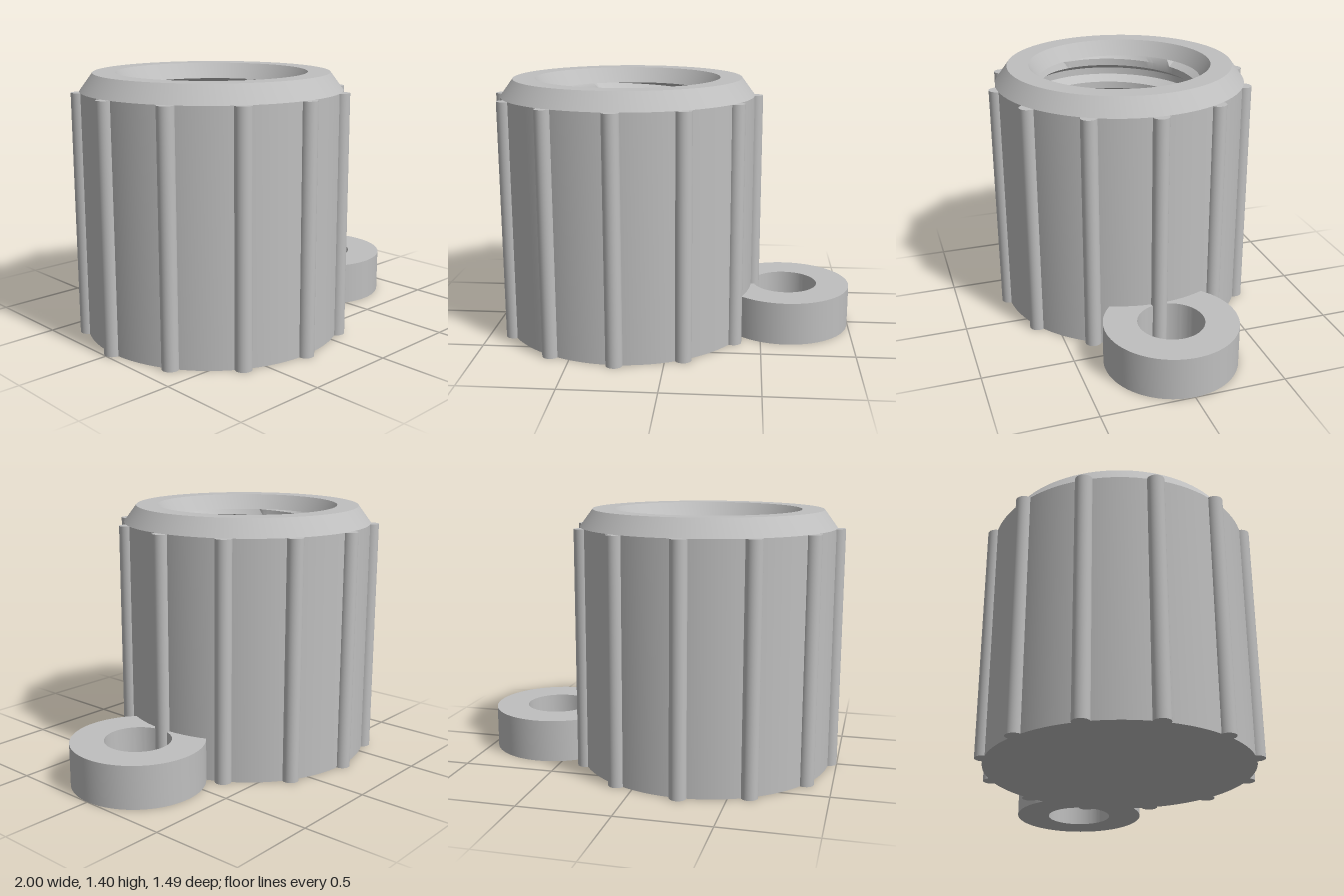
import * as THREE from 'three';
import { toCreasedNormals } from 'three/addons/utils/BufferGeometryUtils.js';

const CX = -0.255, SEG = 96;
const FLOOR = 0.19, THREAD_TOP = 1.32;
const CREST = 0.44, ROOT = 0.495, PITCH = 0.145;

// Threaded bore wall: one stepped profile, raised by one pitch per turn
function threadGeometry() {
  const profile = [];
  for (let k = 9; k >= -1; k--) {
    const y = FLOOR + k * PITCH;
    profile.push([CREST, y + 0.14], [CREST, y + 0.1], [ROOT, y + 0.07], [ROOT, y + 0.03]);
  }
  const n = profile.length, positions = [], indices = [];
  for (let i = 0; i <= SEG; i++) {
    const a = (i / SEG) * Math.PI * 2;
    for (const [radius, height] of profile) {
      let r = radius, y = height - PITCH + (PITCH * i) / SEG;
      if (y > THREAD_TOP) { y = THREAD_TOP; r = 0.455; }
      if (y < FLOOR) { y = FLOOR; r = ROOT; }
      positions.push(r * Math.sin(a), y, r * Math.cos(a));
    }
  }
  for (let i = 0; i < SEG; i++) {
    for (let j = 0; j < n - 1; j++) {
      const a = i * n + j, b = a + n, c = b + 1, d = a + 1;
      indices.push(a, b, d, c, d, b);
    }
  }
  const g = new THREE.BufferGeometry();
  g.setAttribute('position', new THREE.Float32BufferAttribute(positions, 3));
  g.setIndex(indices);
  return toCreasedNormals(g, 0.5);
}

export function createModel() {
  const model = new THREE.Group();
  model.name = 'threadedCap';
  const grey = new THREE.MeshStandardMaterial({ color: 0xbfbfbf });
  grey.name = 'grey plastic';
  const threadGrey = grey.clone();
  threadGrey.side = THREE.DoubleSide;

  const add = (parent, name, geometry, material = grey) => {
    const mesh = new THREE.Mesh(geometry, material);
    mesh.name = name;
    parent.add(mesh);
    return mesh;
  };
  const lathe = (...points) => toCreasedNormals(
    new THREE.LatheGeometry(points.map(([r, y]) => new THREE.Vector2(r, y)), SEG), 0.4);

  // Cap: base, wall, bevelled top, lead-in of the bore
  const cap = new THREE.Group();
  cap.name = 'cap';
  cap.position.x = CX;
  model.add(cap);
  add(cap, 'shell', lathe([0, 0], [0.7, 0], [0.7, 1.31], [0.63, 1.405], [0.51, 1.405], [0.455, THREAD_TOP]));
  add(cap, 'innerThread', threadGeometry(), threadGrey);
  add(cap, 'boreFloor', lathe([ROOT, FLOOR], [0, FLOOR]));

  // Twelve grip ribs around the wall
  const ribGeometry = new THREE.CylinderGeometry(0.045, 0.045, 1.31, 24);
  for (let i = 0; i < 12; i++) {
    const a = (i * Math.PI) / 6;
    add(cap, 'gripRib', ribGeometry).position.set(0.7 * Math.cos(a), 0.655, 0.7 * Math.sin(a));
  }

  // Hanging ring at the foot of the cap
  const ring = add(model, 'hangingRing',
    lathe([0.18, 0], [0.362, 0], [0.362, 0.235], [0.18, 0.235], [0.18, 0]));
  ring.position.x = 0.637;

  return model;
}
